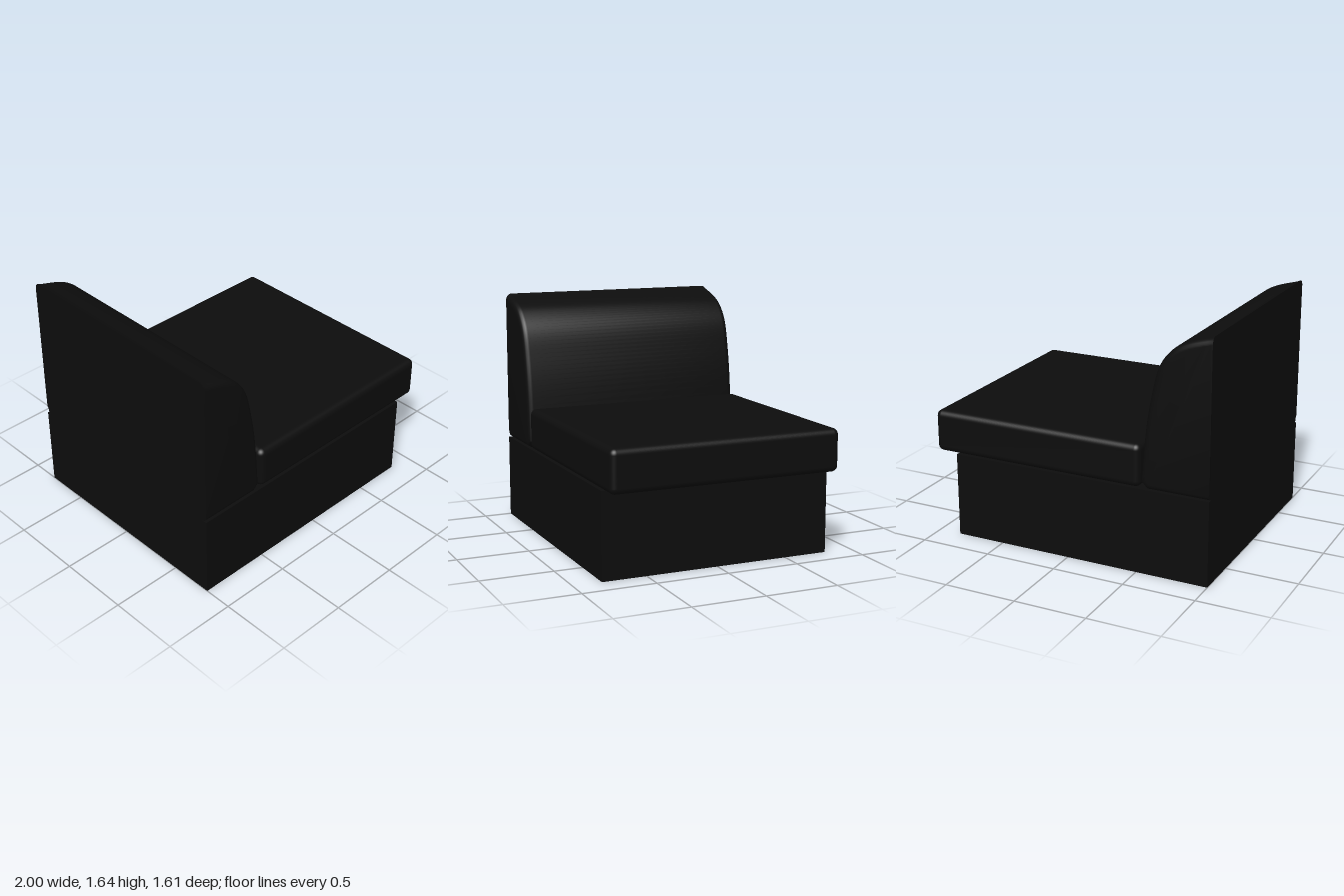
import * as THREE from 'three';
import { RoundedBoxGeometry } from 'three/addons/geometries/RoundedBoxGeometry.js';
import { toCreasedNormals } from 'three/addons/utils/BufferGeometryUtils.js';

const DEPTH = 1.61;
const BASE_TOP = 0.585;
const BEVEL = 0.04;

// Curved cushion profile, extruded across the seat with rounded ends and a flat rear face
function backrestGeometry() {
  const low = BASE_TOP + BEVEL;
  const shape = new THREE.Shape();
  shape.moveTo(-1, low + 0.015);
  shape.lineTo(-0.985, low);
  shape.lineTo(-0.585, low);
  shape.lineTo(-0.565, low + 0.02);
  shape.splineThru([
    [-0.593, 0.98], [-0.63, 1.21], [-0.677, 1.39],
    [-0.755, 1.495], [-0.85, 1.55], [-1, 1.595],
  ].map(([x, y]) => new THREE.Vector2(x, y)));
  shape.closePath();

  const geometry = new THREE.ExtrudeGeometry(shape, {
    depth: DEPTH - 2 * BEVEL,
    curveSegments: 6,
    bevelSize: BEVEL,
    bevelThickness: BEVEL,
    bevelSegments: 5,
  });
  geometry.translate(0, 0, BEVEL - DEPTH / 2);

  // Press the rear bevel flat
  const position = geometry.attributes.position;
  for (let i = 0; i < position.count; i++) {
    position.setX(i, Math.max(-1, position.getX(i)));
  }
  return toCreasedNormals(geometry, 0.6);
}

export function createModel() {
  const group = new THREE.Group();
  const fabric = new THREE.MeshStandardMaterial({ color: 0x0d0d0d });

  const add = (name, geometry, x = 0, y = 0) => {
    const mesh = new THREE.Mesh(geometry, fabric);
    mesh.name = name;
    mesh.position.set(x, y, 0);
    group.add(mesh);
  };

  // Plinth, seat cushion overhanging its open end, and backrest
  add('base', new THREE.BoxGeometry(1.84, BASE_TOP, DEPTH), -0.08, BASE_TOP / 2);
  add('seatCushion', new RoundedBoxGeometry(1.52, 0.29, DEPTH, 5, 0.042), 0.24, BASE_TOP + 0.145);
  add('backrest', backrestGeometry());

  return group;
}
